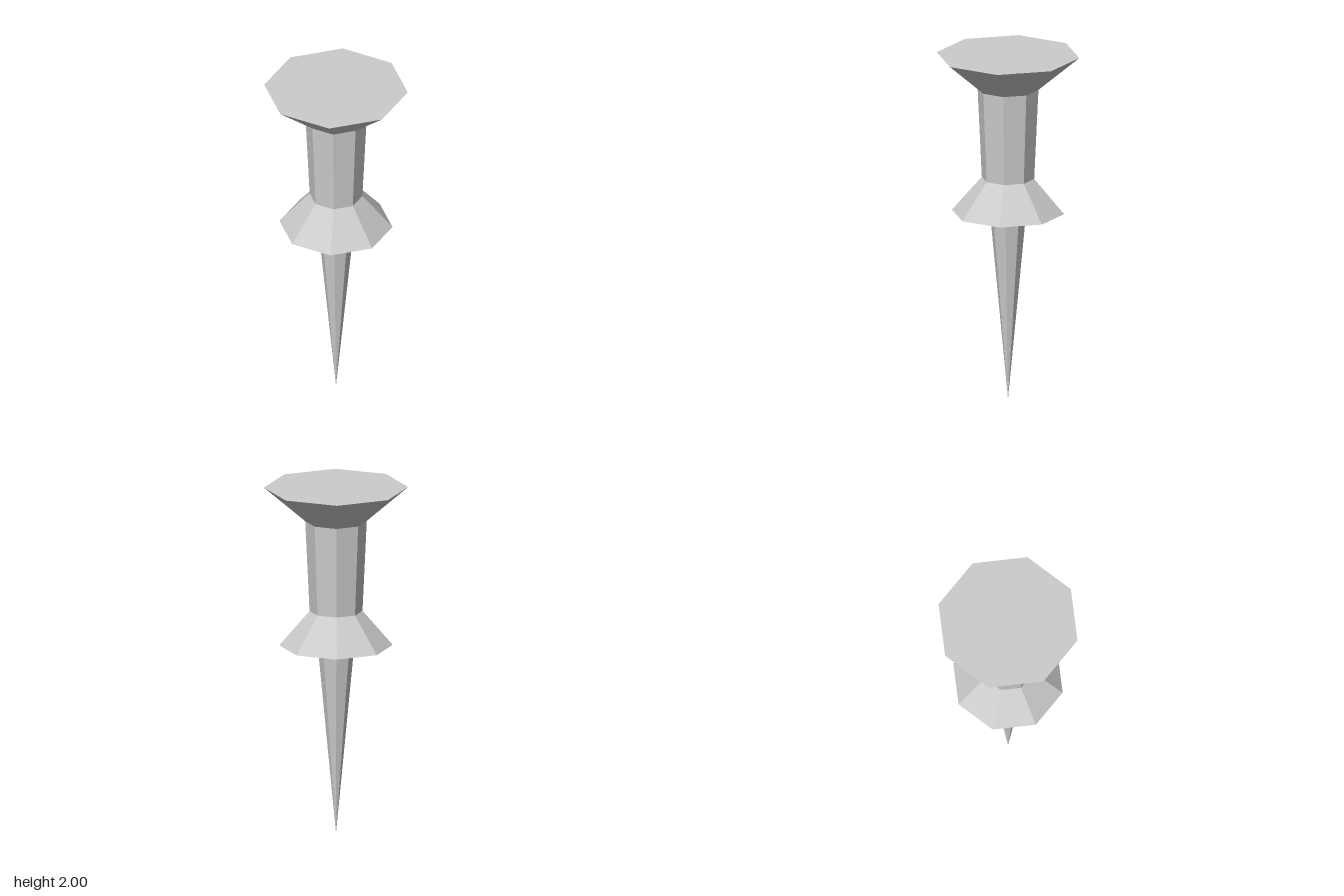
import * as THREE from 'three';

const SIDES = 8;

export function createModel() {
  const group = new THREE.Group();
  group.name = 'pushPin';
  const material = new THREE.MeshStandardMaterial({ color: 0xcccccc, flatShading: true });

  // Each part is an eight-sided turned section, listed bottom to top as [radius, y]
  const parts = {
    needle: [[0, 0], [0.1, 1.06]],
    collar: [[0.1, 1.06], [0.317, 1.088], [0.148, 1.286]],
    grip: [[0.148, 1.286], [0.172, 1.805]],
    head: [[0.172, 1.805], [0.403, 2], [0, 2]],
  };

  for (const [name, profile] of Object.entries(parts)) {
    const points = profile.map(([r, y]) => new THREE.Vector2(r, y));
    const mesh = new THREE.Mesh(new THREE.LatheGeometry(points, SIDES), material);
    mesh.name = name;
    group.add(mesh);
  }
  return group;
}
